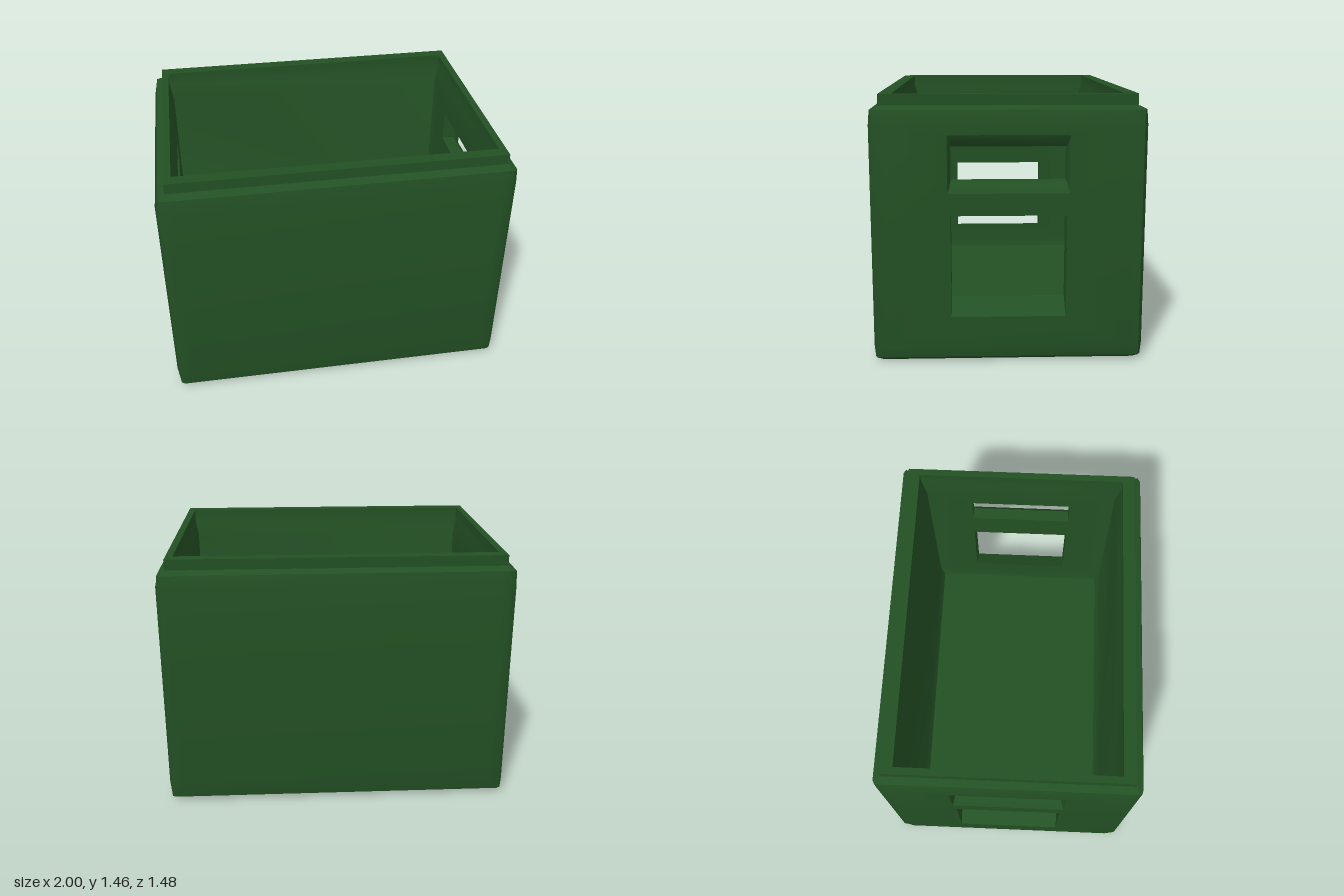
import * as THREE from 'three';
import { mergeGeometries, toCreasedNormals } from 'three/addons/utils/BufferGeometryUtils.js';

// Geometry from a flat list of triangle corners, dropping empty triangles
function fromTriangles(corners) {
  const kept = [];
  for (let i = 0; i < corners.length; i += 3) {
    const t = corners.slice(i, i + 3);
    if (new THREE.Triangle(...t).getArea() > 1e-8) kept.push(...t);
  }
  return new THREE.BufferGeometry().setFromPoints(kept);
}

// Skin between closed rings; skip(level, segment) leaves a face open
function loft(rings, skip = () => false) {
  const tris = [];
  for (let r = 0; r + 1 < rings.length; r++) {
    const a = rings[r], b = rings[r + 1];
    a.forEach((p, i) => {
      if (skip(r, i)) return;
      const j = (i + 1) % a.length;
      tris.push(p, b[i], b[j], p, b[j], a[j]);
    });
  }
  return tris;
}

// Fan closing a convex ring; faces down unless flipped
function cap(ring, flip) {
  const c = new THREE.Vector3(0, ring[0].y, 0);
  return ring.flatMap((p, i) => {
    const q = ring[(i + 1) % ring.length];
    return flip ? [c, q, p] : [c, p, q];
  });
}

// Softened rectangular plan, running from +x towards +z
const corner = [[1, 0.65], [0.985, 0.715], [0.96, 0.735], [0.9, 0.742]];
const flipped = [...corner].reverse();
const plan = [
  ...corner,
  ...flipped.map(([x, z]) => [-x, z]),
  ...corner.map(([x, z]) => [-x, -z]),
  ...flipped.map(([x, z]) => [x, -z]),
];
const clamp = THREE.MathUtils.clamp;
const planRing = ([y, hx, hz]) =>
  plan.map(([x, z]) => new THREE.Vector3(clamp(x, -hx, hx), y, clamp(z, -hz, hz)));

// Height, half width, half depth: up the outside, over the rim, down the inside
const profile = [
  [0, 0.94, 0.685], [0.025, 0.98, 0.728], [0.09, 1, 0.742],
  [1.3, 1, 0.742], [1.38, 0.98, 0.728], [1.4, 0.94, 0.685],
  [1.46, 0.94, 0.685], [1.46, 0.9, 0.615], [1.39, 0.9, 0.615],
  [1.29, 0.88, 0.585], [0.22, 0.88, 0.585], [0.17, 0.87, 0.56],
];
const OUTER = 2, INNER = 9; // levels whose end walls hold the openings

// Openings through the end walls: x, bottom, top, half width, from outside in
const openings = {
  handleOpening: [
    [1, 0.94, 1.25, 0.325], [0.985, 0.965, 1.22, 0.316], [0.955, 0.997, 1.185, 0.31], [0.88, 0.997, 1.185, 0.31],
  ],
  windowOpening: [[1, 0.26, 0.82, 0.31], [0.88, 0.34, 0.812, 0.31]],
};

function rectangle(Type, w, y0, y1) {
  const s = new Type();
  s.moveTo(-w, y0);
  s.lineTo(w, y0);
  s.lineTo(w, y1);
  s.lineTo(-w, y1);
  s.closePath();
  return s;
}

// Flat end wall with openings, at x, facing +x or -x
function endPanel(x, facing, w, y0, y1, pick) {
  const shape = rectangle(THREE.Shape, w, y0, y1);
  for (const steps of Object.values(openings)) {
    const [, b, t, hw] = steps.at(pick);
    shape.holes.push(rectangle(THREE.Path, hw, b, t));
  }
  const g = new THREE.ShapeGeometry(shape).toNonIndexed();
  g.deleteAttribute('uv');
  g.deleteAttribute('normal');
  return g.rotateY(facing * Math.PI / 2).translate(x, 0, 0);
}

export function createModel() {
  const group = new THREE.Group();
  const material = new THREE.MeshStandardMaterial({ color: 0x235024 });
  const add = (name, geometry) => {
    const mesh = new THREE.Mesh(toCreasedNormals(geometry, 0.6), material);
    mesh.name = name;
    group.add(mesh);
    return mesh;
  };

  // Crate shell: walls, rim, cavity, base and floor
  const rings = profile.map(planRing);
  const endSegments = [7, 15];
  const skin = loft(rings, (r, i) => (r === OUTER || r === INNER) && endSegments.includes(i));
  const parts = [fromTriangles([...skin, ...cap(rings[0], false), ...cap(rings.at(-1), true)])];
  for (const s of [1, -1]) {
    parts.push(endPanel(s, s, 0.65, 0.09, 1.3, 0));
    parts.push(endPanel(s * 0.88, -s, 0.585, 0.22, 1.29, -1));
  }
  add('crateShell', mergeGeometries(parts));

  // Linings of the handles and windows, one per end
  for (const [name, steps] of Object.entries(openings)) {
    const frames = steps.map(([x, b, t, w]) =>
      [[b, -w], [b, w], [t, w], [t, -w]].map(([y, z]) => new THREE.Vector3(x, y, z)));
    add(name + 'Left', fromTriangles(loft(frames)));
    add(name + 'Right', fromTriangles(loft(frames)).rotateY(Math.PI));
  }
  return group;
}
